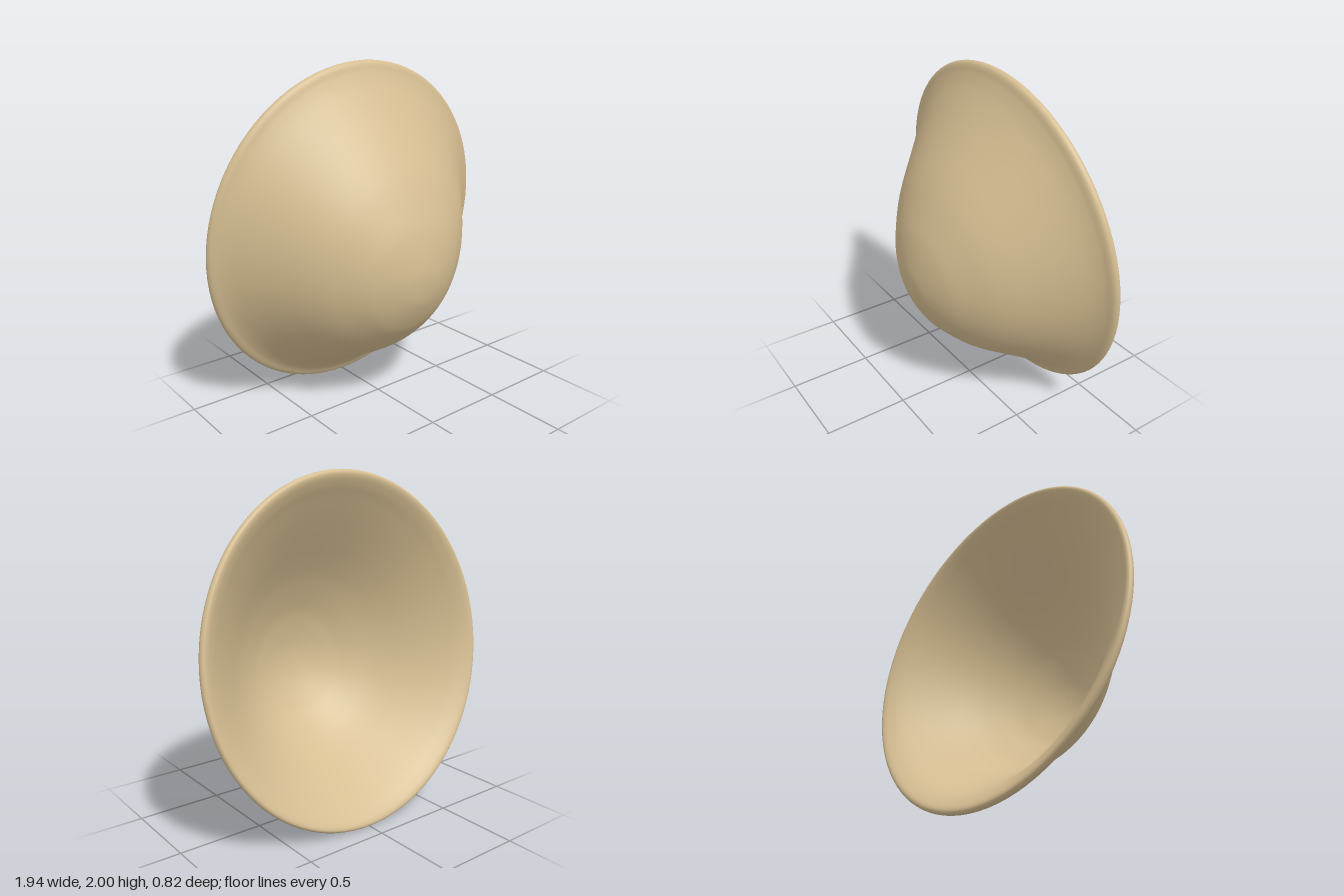
import * as THREE from 'three';
import { mergeVertices } from 'three/addons/utils/BufferGeometryUtils.js';

// Closed section of the shell as [radius, height above the rim]
const OUTER = [
  [0, 0.682], [0.09, 0.676], [0.18, 0.653], [0.27, 0.62], [0.355, 0.576], [0.5, 0.475],
  [0.6, 0.385], [0.696, 0.284], [0.8, 0.175], [0.89, 0.09], [0.95, 0.047], [0.99, 0.028],
];
const LIP = [[1.006, 0.014], [1.01, -0.003], [0.998, -0.018], [0.975, -0.016]];
const INNER = [
  [0.94, 0.005], [0.89, 0.045], [0.79, 0.14], [0.68, 0.252], [0.58, 0.355], [0.48, 0.447],
  [0.34, 0.549], [0.25, 0.594], [0.16, 0.627], [0.08, 0.646], [0, 0.652],
];

export function createModel() {
  const group = new THREE.Group();
  group.name = 'conicalHat';

  const section = [...OUTER, ...LIP, ...INNER].reverse().map(([r, h]) => new THREE.Vector2(r, h));
  const points = new THREE.SplineCurve(section).getPoints(104);
  points.forEach((p) => { p.x = Math.max(p.x, 0); });
  points[0].x = points[points.length - 1].x = 0;

  let shellGeometry = new THREE.LatheGeometry(points, 96);
  shellGeometry.rotateX(Math.PI / 2); // crown points to the front

  // Narrow the shell slightly and let the crown sag below the rim's centre
  const pos = shellGeometry.attributes.position;
  for (let i = 0; i < pos.count; i++) {
    const sag = 0.19 * Math.max(pos.getZ(i) - 0.05, 0);
    pos.setX(i, pos.getX(i) * 0.96);
    pos.setY(i, pos.getY(i) - sag);
  }

  // Weld the seam so the shading stays smooth all round
  shellGeometry.deleteAttribute('uv');
  shellGeometry.deleteAttribute('normal');
  shellGeometry = mergeVertices(shellGeometry, 1e-4);
  shellGeometry.computeVertexNormals();

  const shell = new THREE.Mesh(shellGeometry, new THREE.MeshStandardMaterial({ color: 0xd6be92 }));
  shell.name = 'hatShell';
  shell.rotation.x = 0.134; // rim leans back at the foot
  shell.position.set(0, 1, -0.255);
  group.add(shell);
  return group;
}
